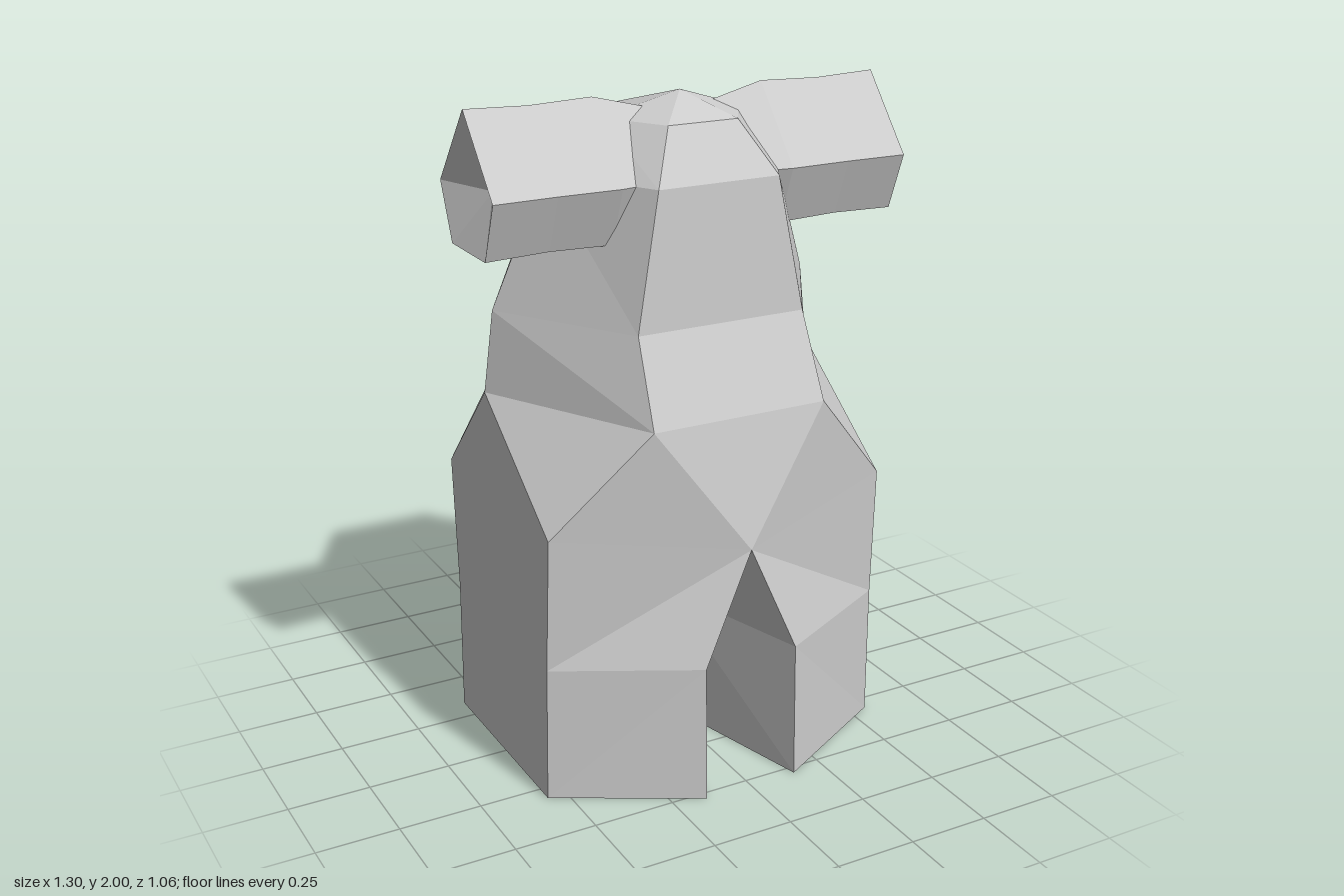
import * as THREE from 'three';

// Rings run anticlockwise seen from the first ring's end.
function loft(rings) {
  const tris = [];
  for (let r = 0; r < rings.length - 1; r++) {
    const a = rings[r], b = rings[r + 1], n = a.length;
    for (let i = 0; i < n; i++) {
      const j = (i + 1) % n;
      tris.push([a[i], b[i], b[j]], [a[i], b[j], a[j]]);
    }
  }
  return tris;
}

// Fan from a ring to a point; reverse it for a cap at the last ring.
function fan(ring, tip, reverse = false) {
  return ring.map((p, i) => {
    const q = ring[(i + 1) % ring.length];
    return reverse ? [tip, q, p] : [tip, p, q];
  });
}

const mirror = (tris) => tris.map((t) => t.map(([x, y, z]) => [-x, y, z]).reverse());

function facetedMesh(name, tris) {
  const geometry = new THREE.BufferGeometry();
  geometry.setAttribute('position', new THREE.Float32BufferAttribute(tris.flat(2), 3));
  geometry.computeVertexNormals();
  const mesh = new THREE.Mesh(geometry, new THREE.MeshStandardMaterial({ color: 0xcccccc, flatShading: true }));
  mesh.name = name;
  return mesh;
}

// Six-sided torso, narrowing to a rounded head
function torsoTriangles() {
  // y, half width of front and back, half width of sides, z of front, side, back
  const levels = [
    [1.93, 0.11, 0.22, 0.215, 0.03, -0.16],
    [1.78, 0.19, 0.375, 0.31, -0.025, -0.365],
    [1.385, 0.265, 0.52, 0.33, -0.085, -0.505],
    [1.14, 0.275, 0.55, 0.44, -0.09, -0.53],
  ];
  const rings = levels.map(([y, w, s, zf, zs, zb]) => [
    [w, y, zf], [s, y, zs], [w, y, zb], [-w, y, zb], [-s, y, zs], [-w, y, zf],
  ]);
  return [...fan(rings[0], [0, 2, 0.08]), ...loft(rings)];
}

// Left half of the hips, down to the knee
function hipTriangles(knee) {
  const front = [0.275, 1.14, 0.44], side = [0.55, 1.14, -0.09], back = [0.275, 1.14, -0.53];
  const midFront = [0, 1.14, 0.44], midBack = [0, 1.14, -0.53];
  const outFront = [0.55, 0.83, 0.33], outBack = [0.55, 0.83, -0.38];
  const crotch = [0, 0.76, 0.51], crotchBack = [0.11, 0.6, -0.5], crotchMid = [0, 0.6, -0.5];
  const [k0, k1, k2, k3, k4] = knee;
  return [
    // waist to thigh
    [midFront, crotch, front], [front, crotch, outFront], [front, outFront, side],
    [side, outFront, outBack], [side, outBack, back], [back, outBack, crotchBack],
    [back, crotchBack, crotchMid], [back, crotchMid, midBack],
    // thigh to knee
    [crotch, k0, k1], [crotch, k1, outFront], [outFront, k1, k2], [outFront, k2, outBack],
    [outBack, k2, k3], [outBack, k3, crotchBack],
    // inner thigh and arch between the legs
    [crotch, k4, k0], [crotchBack, k3, k4], [crotchBack, k4, crotchMid],
  ];
}

// Five-sided lower leg with a hollow sole
function legTriangles(knee) {
  const foot = [[0.15, 0, 0.53], [0.56, 0, 0.305], [0.56, 0, -0.335], [0.15, 0, -0.5], [0.01, 0, 0]];
  return [...loft([knee, foot]), ...fan(foot, [0.286, 0.19, 0], true)];
}

// Five-sided arm held straight out, with a hollow end
function armTriangles() {
  const section = [[2, 0.07], [1.775, -0.11], [1.61, -0.04], [1.61, 0.19], [1.78, 0.255]];
  // x and scale about the arm's middle line
  const rings = [[0.04, 0.75], [0.27, 1], [0.46, 0.97], [0.65, 1]].map(([x, s]) =>
    section.map(([y, z]) => [x, 1.77 + (y - 1.77) * s, 0.07 + (z - 0.07) * s]));
  return [...loft(rings), ...fan(rings[3], [0.57, 1.77, 0.07], true)];
}

export function createModel() {
  const group = new THREE.Group();
  group.name = 'figure';
  const knee = [[0.15, 0.42, 0.52], [0.555, 0.42, 0.31], [0.555, 0.42, -0.34], [0.15, 0.42, -0.49], [0, 0.42, 0]];
  const hips = hipTriangles(knee), leg = legTriangles(knee), arm = armTriangles();
  group.add(
    facetedMesh('torso', torsoTriangles()),
    facetedMesh('hips', [...hips, ...mirror(hips)]),
    facetedMesh('leftLeg', leg),
    facetedMesh('rightLeg', mirror(leg)),
    facetedMesh('leftArm', arm),
    facetedMesh('rightArm', mirror(arm)),
  );
  return group;
}
